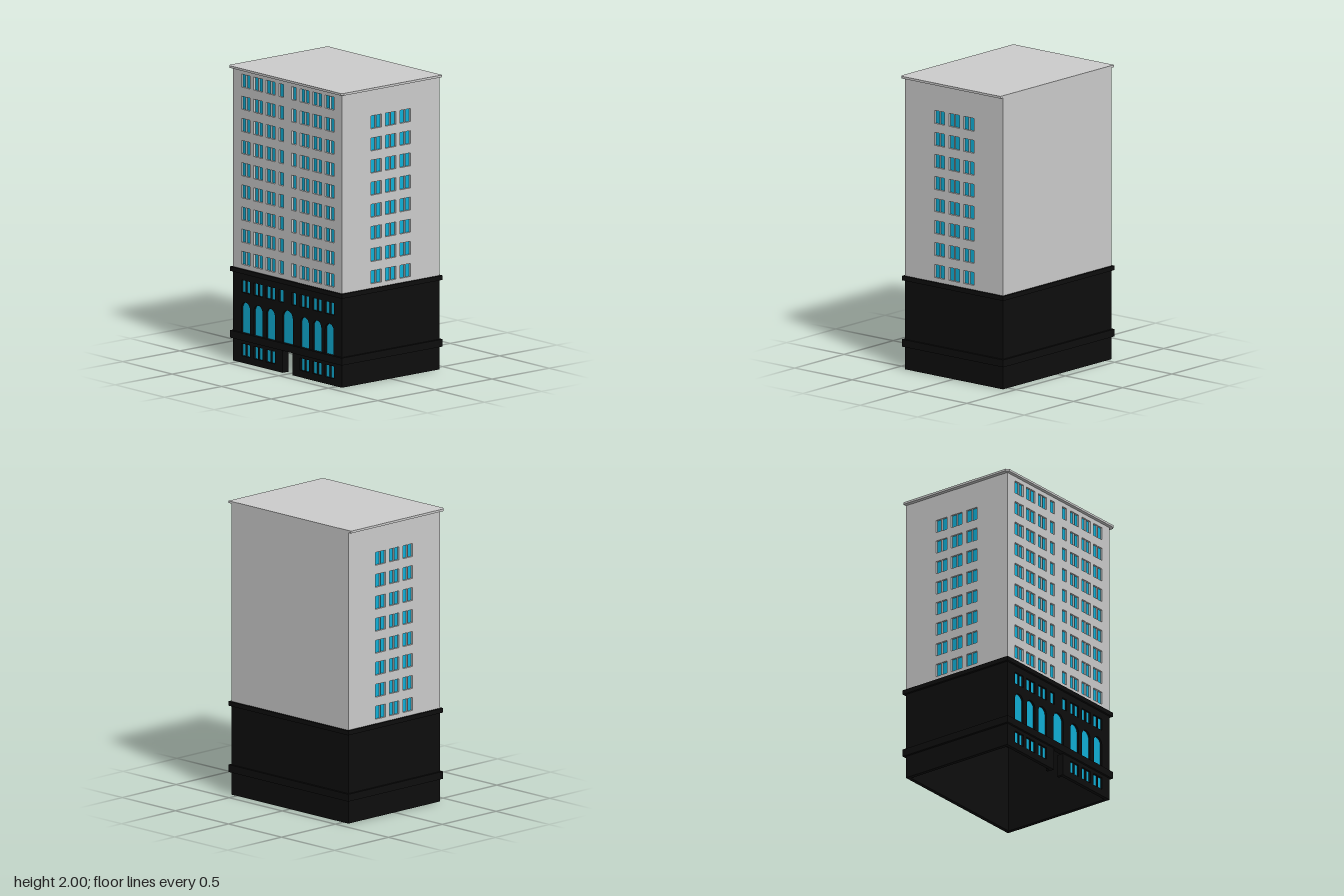
import * as THREE from 'three';

const W = 1.1, D = 0.852, ZC = -0.003, T = 0.025;   // plan size, z centre, wall thickness
const BASE_TOP = 0.62, ROOF = 1.985;
const grey = new THREE.MeshStandardMaterial({ color: 0xcccccc });
const black = new THREE.MeshStandardMaterial({ color: 0x0d0d0d });
const glass = new THREE.MeshStandardMaterial({ color: 0x10b0d8, side: THREE.DoubleSide });

function add(parent, name, geometry, material, x = 0, y = 0, z = 0) {
  const mesh = new THREE.Mesh(geometry, material);
  mesh.name = name;
  mesh.position.set(x, y, z);
  parent.add(mesh);
  return mesh;
}

function polygon(points) {
  return new THREE.Shape(points.map(([x, y]) => new THREE.Vector2(x, y)));
}

function rect(x0, x1, y0, y1) {
  return polygon([[x0, y0], [x1, y0], [x1, y1], [x0, y1]]);
}

// Opening with a round head
function arch(x, r, y0, top) {
  const s = new THREE.Shape();
  s.moveTo(x - r, y0);
  s.lineTo(x + r, y0);
  s.lineTo(x + r, top - r);
  s.absarc(x, top - r, r, 0, Math.PI, false);
  s.closePath();
  return s;
}

// Two sashes side by side
function pair(x, y0, y1) {
  return [rect(x - 0.045, x - 0.002, y0, y1), rect(x + 0.002, x + 0.045, y0, y1)];
}

// Wall whose outer face is z = 0, with openings and recessed panes
function wall(name, outline, openings, material) {
  const group = new THREE.Group();
  group.name = name;
  outline.holes = openings;
  add(group, name + 'Masonry',
    new THREE.ExtrudeGeometry(outline, { depth: T, bevelEnabled: false, curveSegments: 10 }), material, 0, 0, -T);
  if (openings.length) {
    add(group, name + 'Panes', new THREE.ShapeGeometry(openings, 10), glass, 0, 0, -0.014);
  }
  return group;
}

// Projecting band around the whole building
function band(parent, name, y0, y1, out) {
  const x = W / 2 + out, z = D / 2 + out, i = 0.01;
  const s = rect(-x, x, -z, z);
  s.holes.push(rect(-W / 2 + i, W / 2 - i, -D / 2 + i, D / 2 - i));
  const g = new THREE.ExtrudeGeometry(s, { depth: y1 - y0, bevelEnabled: false });
  g.rotateX(-Math.PI / 2);
  add(parent, name, g, black, 0, y0, ZC);
}

export function createModel() {
  const model = new THREE.Group();
  model.name = 'building';
  const front = ZC + D / 2, back = ZC - D / 2;
  const columns = [-0.423, -0.297, -0.172, 0.172, 0.297, 0.423];

  // Tower front: nine storeys of paired windows with two single columns
  const frontOpenings = [], sideOpenings = [];
  for (let i = 0; i < 9; i++) {
    const y0 = 0.667 + i * 0.15, y1 = y0 + 0.088;
    for (const x of columns) frontOpenings.push(...pair(x, y0, y1));
    for (const x of [-0.064, 0.064]) frontOpenings.push(rect(x - 0.023, x + 0.023, y0, y1));
    if (i < 8) for (const x of [-0.127, 0, 0.127]) sideOpenings.push(...pair(x, y0, y1));
  }
  const towerFront = wall('towerFront', rect(-W / 2, W / 2, BASE_TOP, ROOF), frontOpenings, grey);
  towerFront.position.z = front;
  model.add(towerFront);

  // Side walls, tower and base
  const half = D / 2 - T;
  for (const s of [1, -1]) {
    const side = s > 0 ? 'left' : 'right';
    const tower = wall(side + 'TowerWall', rect(-half, half, BASE_TOP, ROOF), sideOpenings, grey);
    const base = wall(side + 'BaseWall', rect(-half, half, 0, BASE_TOP), [], black);
    for (const w of [tower, base]) {
      w.rotation.y = s * Math.PI / 2;
      w.position.set(s * W / 2, 0, ZC);
      model.add(w);
    }
  }

  // Plain back walls
  add(model, 'towerBack', new THREE.BoxGeometry(W, ROOF - BASE_TOP, T), grey, 0, (ROOF + BASE_TOP) / 2, back + T / 2);
  add(model, 'baseBack', new THREE.BoxGeometry(W, BASE_TOP, T), black, 0, BASE_TOP / 2, back + T / 2);

  // Base front: small windows, tall arches and an open doorway
  const baseOpenings = [arch(0, 0.053, 0.2, 0.43)];
  for (const x of columns) {
    baseOpenings.push(...pair(x, 0.047, 0.13), arch(x, 0.043, 0.2, 0.413), ...pair(x, 0.477, 0.56));
  }
  for (const x of [-0.064, 0.064]) baseOpenings.push(rect(x - 0.023, x + 0.023, 0.477, 0.56));
  const d = 0.05, h = 0.155;
  const outline = polygon([[-W / 2, 0], [-d, 0], [-d, h], [d, h], [d, 0],
    [W / 2, 0], [W / 2, BASE_TOP], [-W / 2, BASE_TOP]]);
  const baseFront = wall('baseFront', outline, baseOpenings, black);
  baseFront.position.z = front;
  model.add(baseFront);

  // Doorway reveals
  for (const s of [1, -1]) {
    add(model, 'doorJamb', new THREE.BoxGeometry(0.02, h, 0.05), black, s * (d + 0.01), h / 2, front - 0.026);
  }

  // Ceiling of the hollow base
  add(model, 'baseCeiling', new THREE.BoxGeometry(W - 0.02, 0.015, D - 0.02), black, 0, BASE_TOP - 0.008, ZC);

  // Bands around the base
  band(model, 'lowerBand', 0.155, 0.205, 0.015);
  band(model, 'upperBand', 0.607, 0.637, 0.015);

  // Roof slab overhanging front and sides, with clipped front corners
  const rx = 0.577, rz = 0.447, c = 0.017;
  const roof = polygon([[-rx, -rz + c], [-rx + c, -rz], [rx - c, -rz], [rx, -rz + c], [rx, -back], [-rx, -back]]);
  const roofGeometry = new THREE.ExtrudeGeometry(roof, { depth: 2 - ROOF, bevelEnabled: false });
  roofGeometry.rotateX(-Math.PI / 2);
  add(model, 'roofSlab', roofGeometry, grey, 0, ROOF, 0);

  return model;
}
